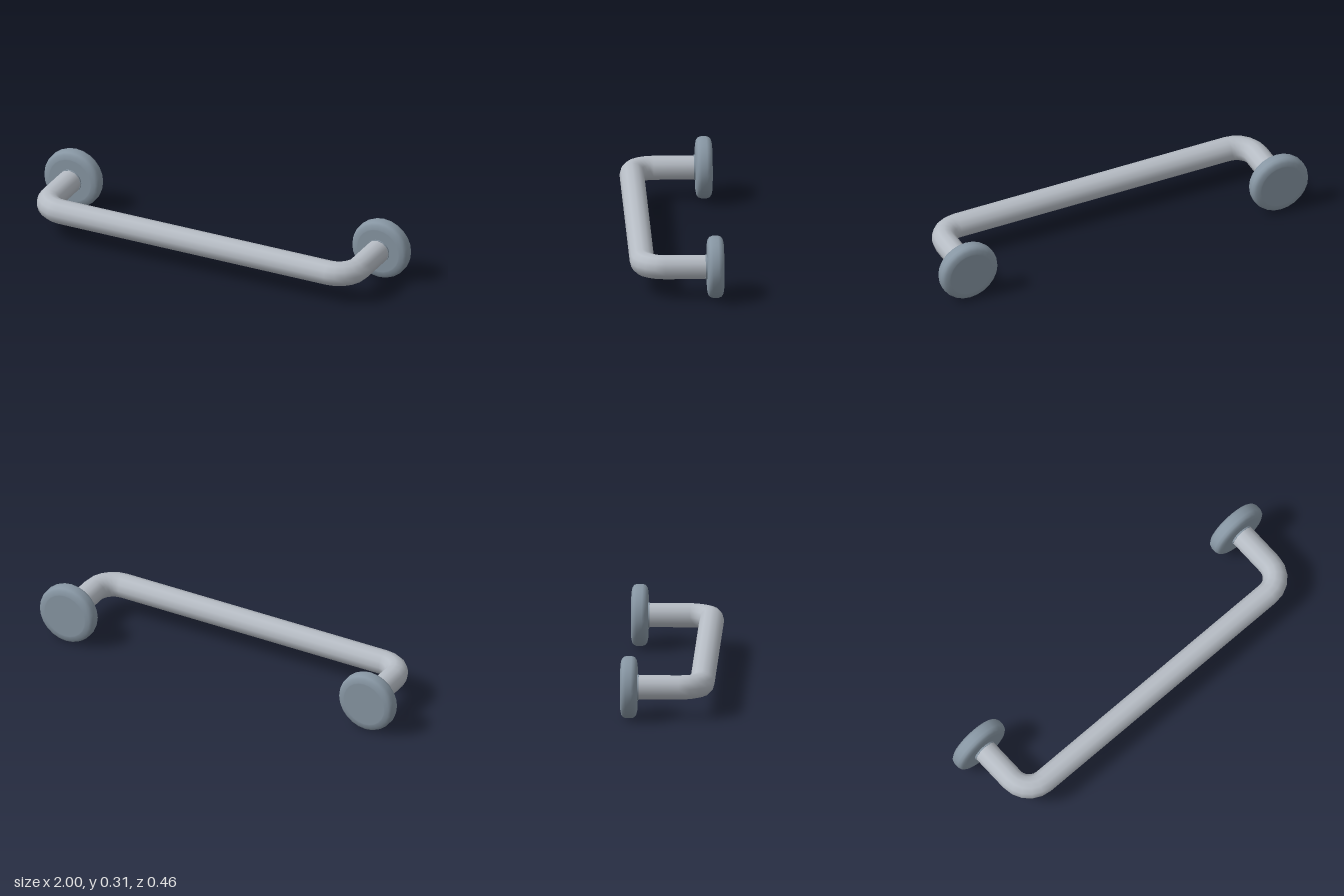
import * as THREE from 'three';

const CENTER_Y = 0.153, POST_X = 0.847, BAR_Z = 0.168;
const BAR_RADIUS = 0.061, BEND_RADIUS = 0.11, BEND_STEPS = 5;

// Curve that visits each listed point once, with an exact tangent at each
class RailCurve extends THREE.Curve {
  constructor(stations) {
    super();
    this.stations = stations;
  }
  station(t) {
    return this.stations[Math.round(t * (this.stations.length - 1))];
  }
  getPointAt(t, target = new THREE.Vector3()) {
    return target.copy(this.station(t).point);
  }
  getTangentAt(t, target = new THREE.Vector3()) {
    return target.copy(this.station(t).tangent);
  }
}

// U-shaped path: left post, rounded bend, straight bar, rounded bend, right post
function railStations() {
  const stations = [];
  const add = (x, z, tx, tz) => stations.push({
    point: new THREE.Vector3(x, CENTER_Y, z),
    tangent: new THREE.Vector3(tx, 0, tz),
  });
  add(POST_X, -0.16, 0, 1);
  for (const side of [1, -1]) {
    for (let i = 0; i <= BEND_STEPS; i++) {
      const step = side > 0 ? i : BEND_STEPS - i;
      const a = (step / BEND_STEPS) * Math.PI / 2;
      add(
        side * (POST_X - BEND_RADIUS + BEND_RADIUS * Math.cos(a)),
        BAR_Z - BEND_RADIUS + BEND_RADIUS * Math.sin(a),
        -Math.sin(a), side * Math.cos(a),
      );
    }
  }
  add(-POST_X, -0.16, 0, -1);
  return stations;
}

// Round wall plate with softened rims, lathed about its own axis
function flangeGeometry() {
  const profile = [
    [0, -0.23], [0.112, -0.23], [0.117, -0.23], [0.136, -0.226], [0.148, -0.217],
    [0.153, -0.203], [0.153, -0.175], [0.148, -0.161], [0.136, -0.152],
    [0.117, -0.148], [0.112, -0.148], [0, -0.148],
  ].map(([r, z]) => new THREE.Vector2(r, z));
  return new THREE.LatheGeometry(profile, 24).rotateX(Math.PI / 2);
}

export function createModel() {
  const model = new THREE.Group();
  model.name = 'grabBar';

  const barMetal = new THREE.MeshStandardMaterial({ color: 0xb6bcc4 });
  barMetal.name = 'light metal';
  const flangeMetal = new THREE.MeshStandardMaterial({ color: 0x8796a3 });
  flangeMetal.name = 'blue grey metal';

  // Bent rail
  const stations = railStations();
  const rail = new THREE.Mesh(
    new THREE.TubeGeometry(new RailCurve(stations), stations.length - 1, BAR_RADIUS, 12, false),
    barMetal,
  );
  rail.name = 'rail';
  model.add(rail);

  // Wall flanges, each with a slim collar around the post
  const plate = flangeGeometry();
  const collarShape = new THREE.CylinderGeometry(0.062, 0.062, 0.012, 24).rotateX(Math.PI / 2);
  for (const [side, label] of [[1, 'left'], [-1, 'right']]) {
    const flange = new THREE.Group();
    flange.name = label + 'Flange';
    flange.position.set(side * POST_X, CENTER_Y, 0);
    const disc = new THREE.Mesh(plate, flangeMetal);
    disc.name = label + 'WallPlate';
    const collar = new THREE.Mesh(collarShape, flangeMetal);
    collar.name = label + 'Collar';
    collar.position.z = -0.146;
    flange.add(disc, collar);
    model.add(flange);
  }
  return model;
}
